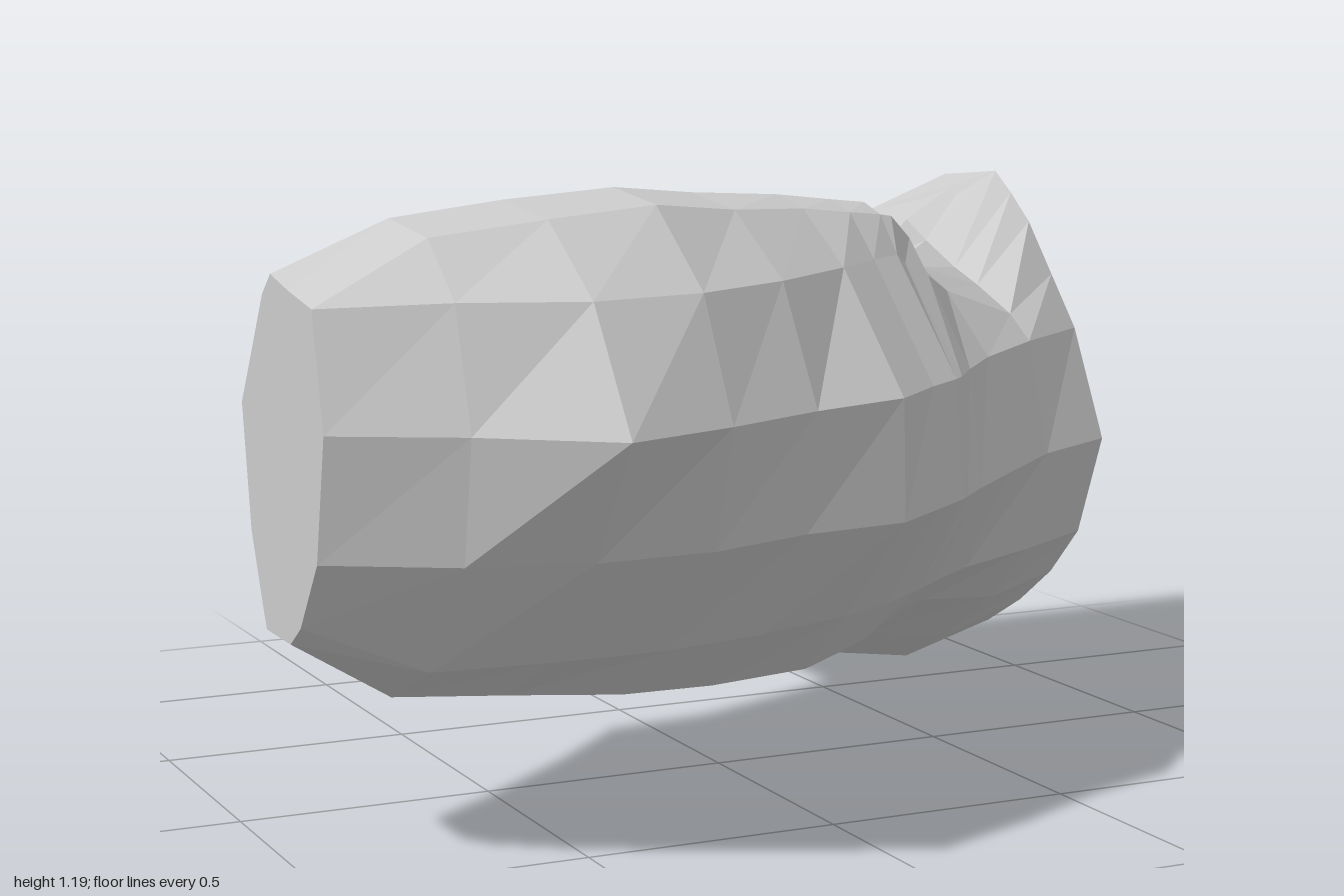
import * as THREE from 'three';

// Barrel stations: x, bottom y, back and front z of the bottom, front z at the four levels going up,
// front and back z of the top, top y, back z at the four levels going down
const BARREL = [
  [-1.00, 0.41, 0.20, 0.34, 0.40, 0.50, 0.55, 0.50, 0.37, 0.27, 1.06, 0.22, 0.08, 0.12, 0.18],
  [-0.78, 0.27, 0.15, 0.24, 0.45, 0.63, 0.67, 0.60, 0.47, 0.27, 1.15, 0.12, 0.01, -0.06, 0.08],
  [-0.56, 0.255, 0.12, 0.26, 0.47, 0.69, 0.84, 0.68, 0.48, 0.26, 1.175, 0.00, -0.13, -0.27, -0.03],
  [-0.33, 0.235, 0.06, 0.27, 0.47, 0.68, 0.75, 0.63, 0.43, 0.24, 1.19, -0.07, -0.18, -0.30, -0.08],
  [-0.11, 0.215, -0.02, 0.20, 0.42, 0.60, 0.64, 0.50, 0.30, 0.10, 1.165, -0.15, -0.29, -0.39, -0.18],
  [0.11, 0.22, -0.10, 0.17, 0.34, 0.57, 0.56, 0.32, 0.15, 0.03, 1.15, -0.20, -0.40, -0.50, -0.28],
  [0.24, 0.23, -0.16, 0.09, 0.27, 0.47, 0.44, 0.20, 0.10, 0.01, 1.135, -0.20, -0.54, -0.62, -0.45],
  [0.33, 0.235, -0.27, 0.02, 0.20, 0.40, 0.37, 0.13, 0.06, -0.01, 1.125, -0.20, -0.65, -0.85, -0.70],
];
const LEVELS = [0.36, 0.58, 0.81, 1.03];

// Flared mouth stations: x, then an open arc of [z, y] from back bottom, round the front, to back top
const FLARE = [
  [0.36, [[-0.85, 0.38], [-0.62, 0.3], [-0.32, 0.235], [-0.03, 0.24], [0.18, 0.36], [0.37, 0.58], [0.34, 0.81],
    [0.11, 1.01], [0.05, 1.1], [-0.04, 1.1], [-0.2, 1.02], [-0.55, 0.89], [-0.85, 0.8]]],
  [0.43, [[-0.85, 0.13], [-0.57, 0.13], [-0.4, 0.18], [-0.1, 0.25], [0.12, 0.36], [0.3, 0.58], [0.25, 0.81],
    [0.08, 0.98], [0, 1.05], [-0.12, 1.03], [-0.25, 0.99], [-0.5, 0.92], [-0.85, 0.9]]],
  [0.56, [[-0.85, 0.03], [-0.62, 0.05], [-0.4, 0.14], [-0.15, 0.26], [0.02, 0.36], [0.18, 0.58], [0.1, 0.81],
    [-0.07, 0.93], [-0.18, 0.97], [-0.3, 0.96], [-0.42, 0.95], [-0.65, 0.95], [-0.85, 0.97]]],
  [0.78, [[-0.85, 0], [-0.62, 0.02], [-0.45, 0.1], [-0.24, 0.23], [-0.1, 0.36], [-0.02, 0.58], [-0.1, 0.81],
    [-0.18, 0.86], [-0.32, 0.91], [-0.42, 0.94], [-0.55, 0.99], [-0.64, 1.03], [-0.85, 1.03]]],
  [1.0, [[-0.85, 0.045], [-0.62, 0.085], [-0.48, 0.16], [-0.35, 0.25], [-0.24, 0.36], [-0.15, 0.58], [-0.27, 0.81],
    [-0.37, 0.92], [-0.47, 1.03], [-0.55, 1.09], [-0.62, 1.135], [-0.73, 1.125], [-0.85, 1.115]]],
];

// Closed ring of 13 points, starting and ending at the middle of the back
function barrelRing([x, yb, za, zb, f0, f1, f2, f3, ta, tb, yt, b3, b2, b1, b0]) {
  const y = LEVELS.map((l) => Math.min(Math.max(l, yb + 0.04), yt - 0.04));
  return [
    [b1, y[1]], [b0, y[0]], [za, yb], [zb, yb],
    [f0, y[0]], [f1, y[1]], [f2, y[2]], [f3, y[3]],
    [ta, yt - 0.02], [tb, yt], [b3, y[3]], [b2, y[2]], [b1, y[1]],
  ].map(([z, h]) => new THREE.Vector3(x, h, z));
}

function meshFromTriangles(name, triangles, material) {
  const geometry = new THREE.BufferGeometry().setFromPoints(triangles.flat());
  geometry.computeVertexNormals();
  const mesh = new THREE.Mesh(geometry, material);
  mesh.name = name;
  return mesh;
}

export function createModel() {
  const group = new THREE.Group();
  group.name = 'flaredBarrel';
  const material = new THREE.MeshStandardMaterial({
    color: 0xcccccc, flatShading: true, side: THREE.DoubleSide,
  });

  const rings = [
    ...BARREL.map(barrelRing),
    ...FLARE.map(([x, arc]) => arc.map(([z, y]) => new THREE.Vector3(x, y, z))),
  ];
  const last = rings.length - 1;

  // Skin joining neighbouring rings
  const skin = [];
  for (let i = 0; i < last; i++) {
    for (let j = 0; j < 12; j++) {
      const a = rings[i][j], b = rings[i][j + 1], c = rings[i + 1][j + 1], d = rings[i + 1][j];
      skin.push([a, d, c], [a, c, b]);
    }
  }
  group.add(meshFromTriangles('bodySkin', skin, material));

  // Flat cap on the narrow end
  const cap = [];
  for (let j = 1; j < 11; j++) cap.push([rings[0][0], rings[0][j], rings[0][j + 1]]);
  group.add(meshFromTriangles('endCap', cap, material));

  // Folded web closing the flared mouth: two fans sharing one edge
  const rim = rings[last];
  const upper = rings[last - 1][12];
  const lower = rim[4];
  const web = [];
  for (let j = 4; j < 12; j++) web.push([upper, rim[j + 1], rim[j]]);
  for (let j = 0; j < 3; j++) web.push([lower, rim[j + 1], rim[j]]);
  const chain = [];
  for (let i = last; i >= BARREL.length - 1; i--) chain.push(rings[i][0]);
  for (let i = BARREL.length; i < last; i++) chain.push(rings[i][12]);
  for (let k = 0; k < chain.length - 1; k++) web.push([lower, chain[k], chain[k + 1]]);
  group.add(meshFromTriangles('mouthWeb', web, material));

  return group;
}
